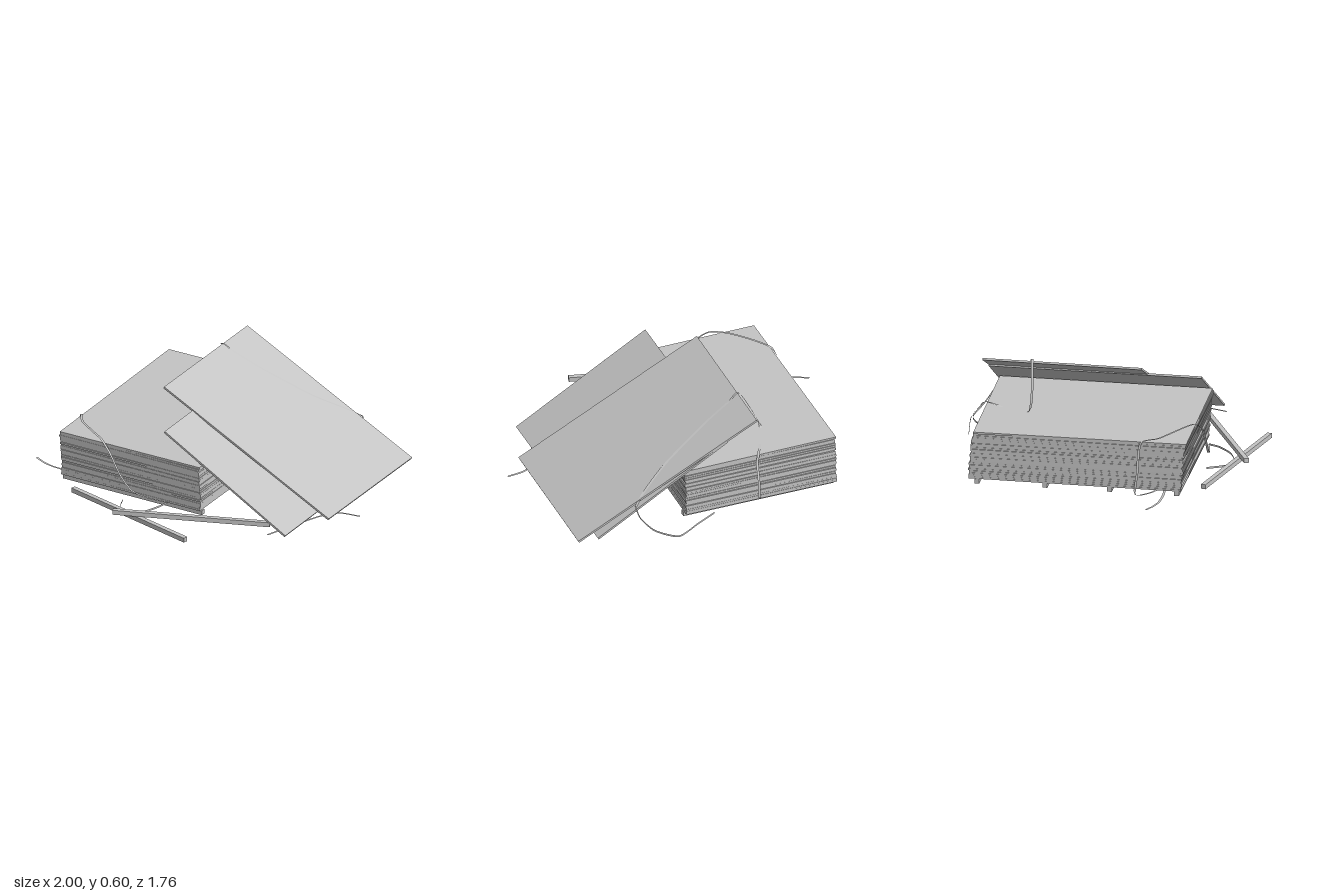
import * as THREE from 'three';

const grey = new THREE.MeshStandardMaterial({ color: 0xc4c4c4 });
grey.name = 'plain grey';
// same grey, visible from both faces of the thin straps
const strapGrey = new THREE.MeshStandardMaterial({ color: 0xc4c4c4, side: THREE.DoubleSide });
strapGrey.name = 'strap grey';

const SHORT = 0.937, LONG = 1.25, THICK = 0.012, BATTEN = 0.028;

function box(name, size, pos, rot = [0, 0, 0]) {
  const mesh = new THREE.Mesh(new THREE.BoxGeometry(...size), grey);
  mesh.name = name;
  mesh.position.set(...pos);
  mesh.rotation.set(...rot);
  return mesh;
}

// batten lying between two end points
function batten(name, a, b) {
  const from = new THREE.Vector3(...a), to = new THREE.Vector3(...b);
  const mesh = box(name, [BATTEN, BATTEN, from.distanceTo(to)], [0, 0, 0]);
  mesh.position.copy(from).add(to).multiplyScalar(0.5);
  mesh.lookAt(to);
  return mesh;
}

// flat ribbon along points [x, y, z, edge]; edge 0 lies flat, edge 1 stands upright
function strap(name, points, width = 0.014) {
  const curve = new THREE.CatmullRomCurve3(
    points.map(p => new THREE.Vector3(p[0], p[1], p[2])), false, 'catmullrom', 0.35);
  const steps = (points.length - 1) * 8;
  const pos = [], index = [];
  for (let i = 0; i <= steps; i++) {
    const t = i / steps, k = Math.min(Math.floor(i / 8), points.length - 2);
    const edge = THREE.MathUtils.lerp(points[k][3] || 0, points[k + 1][3] || 0, i / 8 - k);
    const c = curve.getPoint(t), d = curve.getTangent(t);
    const side = new THREE.Vector3(d.z, 0, -d.x).normalize()
      .lerp(new THREE.Vector3(0, 1, 0), edge).setLength(width / 2);
    pos.push(c.x - side.x, c.y - side.y, c.z - side.z, c.x + side.x, c.y + side.y, c.z + side.z);
    if (i < steps) {
      const a = i * 2;
      index.push(a, a + 1, a + 2, a + 1, a + 3, a + 2);
    }
  }
  const geo = new THREE.BufferGeometry();
  geo.setAttribute('position', new THREE.Float32BufferAttribute(pos, 3));
  geo.setIndex(index);
  geo.computeVertexNormals();
  const mesh = new THREE.Mesh(geo, strapGrey);
  mesh.name = name;
  return mesh;
}

export function createModel() {
  const model = new THREE.Group();
  model.name = 'boardStack';

  let seed = 7;
  const jitter = amount => {
    seed = (seed * 16807) % 2147483647;
    return (seed / 2147483647 - 0.5) * 2 * amount;
  };

  // pile of sheets, drifting slightly forward towards the top
  const pile = new THREE.Group();
  pile.name = 'sheetPile';
  const count = 24, base = 0.029, pitch = (0.32 - base) / count;
  for (let i = 0; i < count; i++) {
    const top = i === count - 1, f = i / (count - 1);
    pile.add(box('sheet', [SHORT, pitch * 0.97, LONG],
      [-0.267 + (top ? -0.002 : jitter(0.003)), base + (i + 0.5) * pitch,
        -0.098 + 0.028 * f + (top ? 0 : jitter(0.005))],
      [0, top ? 0.011 : jitter(0.005), 0]));
  }
  model.add(pile);

  // battens under the pile
  for (const z of [-0.67, -0.27, 0.11, 0.505]) {
    model.add(batten('bearerBatten', [-0.735, BATTEN / 2, z], [0.205, BATTEN / 2, z]));
  }

  // sheets leaning against the pile
  model.add(box('leaningSheetUpper', [LONG, THICK, SHORT], [0.318, 0.297, -0.257], [0, 0, -0.473]));
  model.add(box('leaningSheetLower', [SHORT, THICK, LONG], [0.355, 0.242, -0.1], [0, 0.01, -0.527]));

  // loose battens on the ground
  model.add(batten('looseBatten', [-0.595, 0.014, 0.637], [0.303, 0.014, 0.867]));
  model.add(batten('looseBatten', [-0.215, 0.046, 0.823], [0.617, 0.014, 0.44]));

  // strap over the front left corner of the pile
  model.add(strap('frontStrap', [
    [-0.62, 0.006, 0.4], [-0.73, 0.008, 0.35], [-0.838, 0.032, 0.28], [-0.805, 0.15, 0.285],
    [-0.745, 0.315, 0.295], [-0.68, 0.328, 0.39], [-0.55, 0.347, 0.5], [-0.45, 0.342, 0.56],
    [-0.37, 0.28, 0.592], [-0.3, 0.17, 0.602], [-0.22, 0.085, 0.6], [-0.12, 0.057, 0.585], [0, 0.05, 0.565]]));
  model.add(strap('frontStrapLoop', [
    [0, 0.05, 0.565, 1], [-0.02, 0.045, 0.63, 1], [-0.08, 0.03, 0.71, 1], [-0.2, 0.018, 0.75, 1],
    [-0.25, 0.014, 0.68, 1], [-0.28, 0.01, 0.6, 1]], 0.012));

  // strap over the upper leaning sheet, down to the pile and the ground behind it
  const onSheet = (x, z) => [x, 0.297 - 0.512 * (x - 0.318) + 0.011, z];
  model.add(strap('backStrap', [
    [-0.22, 0.1, -0.81], [-0.222, 0.21, -0.795], [-0.235, 0.295, -0.735], [-0.262, 0.327, -0.69],
    [-0.375, 0.326, -0.43], [-0.245, 0.588, -0.432], onSheet(-0.17, -0.45), onSheet(0, -0.49),
    onSheet(0.28, -0.59), onSheet(0.45, -0.69), [0.53, 0.185, -0.75]]));
  model.add(strap('backStrapTail', [
    [0.53, 0.185, -0.75, 0.5], [0.51, 0.12, -0.785, 1], [0.44, 0.05, -0.835, 1],
    [0.31, 0.009, -0.88, 1], [0.16, 0.009, -0.8, 1], [0.03, 0.009, -0.73, 1]], 0.012));

  // strap ends lying flat on the ground
  model.add(strap('leftGroundStrap', [
    [-1, 0.004, 0.37], [-0.93, 0.004, 0.405], [-0.85, 0.004, 0.424], [-0.7, 0.004, 0.425], [-0.476, 0.004, 0.37]]));
  model.add(strap('rightGroundStrap', [
    [1, 0.004, 0.068], [0.88, 0.004, 0.09], [0.8, 0.004, 0.19], [0.73, 0.004, 0.37], [0.667, 0.004, 0.55]]));

  return model;
}
